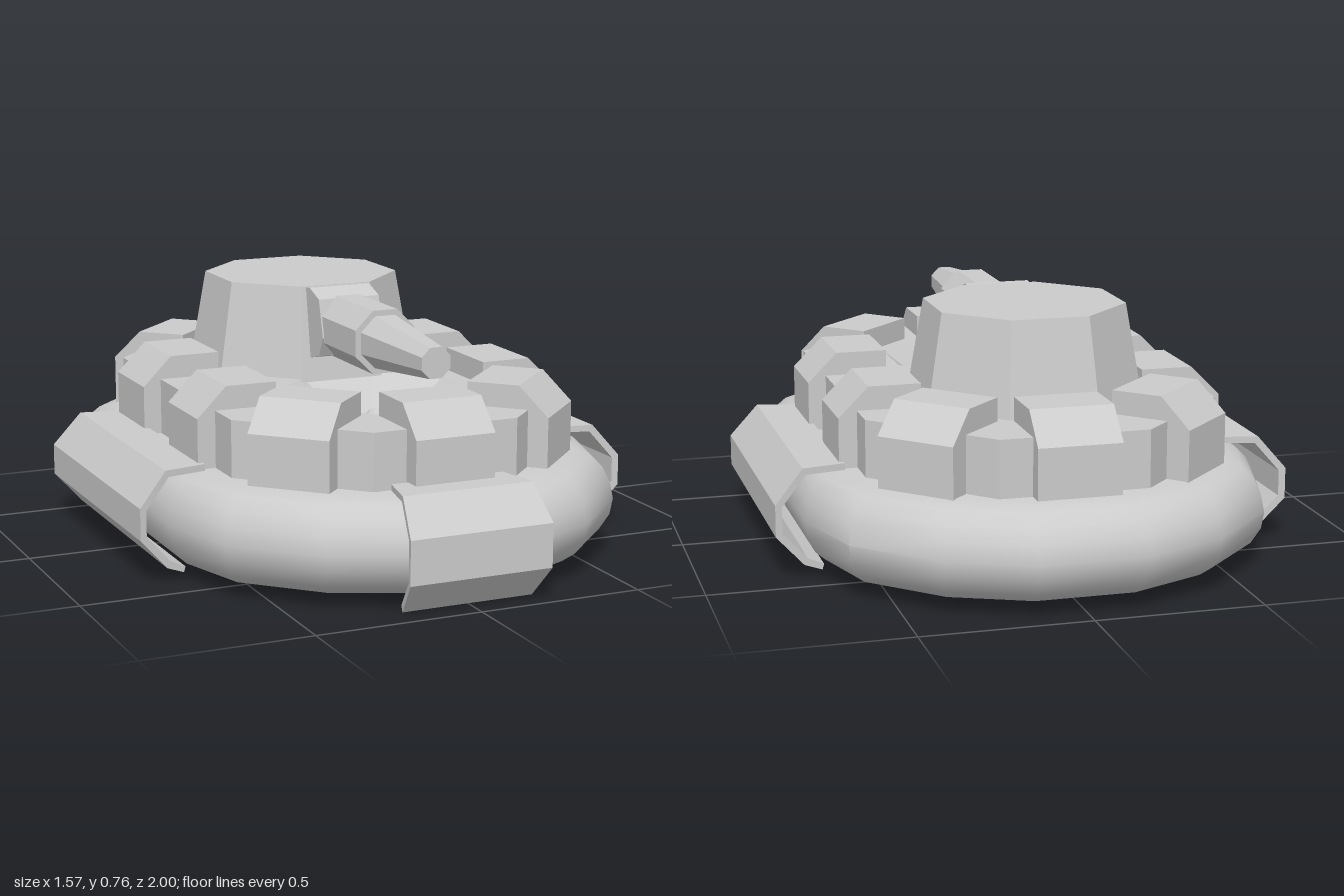
import * as THREE from 'three';
import { toCreasedNormals } from 'three/addons/utils/BufferGeometryUtils.js';

const flat = new THREE.MeshStandardMaterial({ color: 0xcccccc, flatShading: true, side: THREE.DoubleSide });
const smooth = new THREE.MeshStandardMaterial({ color: 0xcccccc, side: THREE.DoubleSide });

function add(parent, name, geometry, material = flat) {
  const mesh = new THREE.Mesh(geometry, material);
  mesh.name = name;
  parent.add(mesh);
  return mesh;
}

const shapeOf = (pts) => new THREE.Shape(pts.map(([x, y]) => new THREE.Vector2(x, y)));

// Octagonal frustum with flats on the axes; radii are measured to the flats
function octagon(top, bottom, height, open = false) {
  const k = 1 / Math.cos(Math.PI / 8);
  return new THREE.CylinderGeometry(top * k, bottom * k, height, 8, 1, open).rotateY(Math.PI / 8);
}

// Profile given as [outward, y], extruded sideways and centred, outward = +z
function prism(profile, width) {
  return new THREE.ExtrudeGeometry(shapeOf(profile), { depth: width, bevelEnabled: false })
    .translate(0, 0, -width / 2).rotateY(-Math.PI / 2);
}

// Inflated skirt: scaled copies of the plan outline stacked along a bulging profile
function skirtGeometry() {
  const half = [[0.16, -1], [0.41, -0.89], [0.62, -0.68], [0.695, -0.42], [0.695, 0.4], [0.62, 0.65], [0.41, 0.86], [0.18, 0.965]];
  const outline = [...half, ...half.slice().reverse().map(([x, z]) => [-x, z])];
  const profile = [[1, 0.02], [0.4, 0.02], [0.09, 0.04], [0.045, 0.07], [0.01, 0.12], [0, 0.17],
    [0.012, 0.22], [0.04, 0.265], [0.08, 0.295], [0.14, 0.31], [1, 0.31]];
  const pos = [], index = [], n = outline.length;
  for (const [inset, y] of profile)
    for (const [x, z] of outline) pos.push(x * (1 - inset), y, z * (1 - inset));
  for (let r = 0; r < profile.length - 1; r++)
    for (let i = 0; i < n; i++) {
      const a = r * n + i, b = r * n + (i + 1) % n;
      if (r > 0) index.push(a, a + n, b);
      if (r < profile.length - 2) index.push(b, a + n, b + n);
      else continue;
      if (r === 0) continue;
    }
  const g = new THREE.BufferGeometry();
  g.setAttribute('position', new THREE.Float32BufferAttribute(pos, 3));
  g.setIndex(index);
  return toCreasedNormals(g, 0.62);
}

// Bent guard plate: its width grows with its distance outward
function guard(inner, outer, widthIn, widthOut, outIn, outMax) {
  const g = prism([...outer, ...inner.slice().reverse()], 2);
  const p = g.attributes.position;
  for (let i = 0; i < p.count; i++) {
    const t = THREE.MathUtils.clamp((p.getZ(i) - outIn) / (outMax - outIn), 0, 1);
    p.setX(i, p.getX(i) * THREE.MathUtils.lerp(widthIn, widthOut, t));
  }
  return g;
}

export function createModel() {
  const model = new THREE.Group();
  model.name = 'hovercraft';

  add(model, 'skirt', skirtGeometry(), smooth);

  // Raised deck with an octagonal pit in front of the turret
  const deck = shapeOf([[-0.22, 0.81], [-0.53, 0.49], [-0.53, -0.465], [-0.225, -0.77],
    [0.225, -0.77], [0.53, -0.465], [0.53, 0.49], [0.22, 0.81]]);
  const pit = new THREE.Path();
  for (let i = 0; i < 8; i++) {
    const a = (i + 0.5) * Math.PI / 4, r = 0.28 / Math.cos(Math.PI / 8);
    pit[i ? 'lineTo' : 'moveTo'](r * Math.cos(a), -0.295 + r * Math.sin(a));
  }
  pit.closePath();
  deck.holes.push(pit);
  add(model, 'deck', new THREE.ExtrudeGeometry(deck, { depth: 0.18, bevelEnabled: false })
    .rotateX(-Math.PI / 2).translate(0, 0.3, 0));
  add(model, 'pitWall', octagon(0.28, 0.08, 0.16, true).translate(0, 0.4, 0.295));
  add(model, 'pitFloor', octagon(0.08, 0.08, 0.02).translate(0, 0.312, 0.295));
  add(model, 'pitPost', new THREE.CylinderGeometry(0.04, 0.055, 0.08, 8).translate(0, 0.35, 0.3));
  add(model, 'pitPostCap', new THREE.SphereGeometry(0.04, 8, 3, 0, Math.PI * 2, 0, Math.PI / 2).translate(0, 0.39, 0.3));

  // Ring of chamfered blocks around the deck: x, z, heading
  const blockGeometry = prism([[-0.123, 0.3], [0.123, 0.3], [0.123, 0.46], [0.033, 0.55], [-0.123, 0.55]], 0.247);
  const q = Math.PI / 4;
  const blocks = [[0, 0.708, 0], [0, -0.735, 4 * q]];
  for (const s of [1, -1])
    blocks.push([s * 0.345, 0.563, s * q], [s * 0.462, 0.215, s * 2 * q],
      [s * 0.462, -0.255, s * 2 * q], [s * 0.345, -0.607, s * 3 * q]);
  for (const [x, z, heading] of blocks) {
    const block = add(model, 'deckBlock', blockGeometry);
    block.position.set(x, 0, z);
    block.rotation.y = heading;
  }

  // Guards over the skirt at both sides and the front
  const sideGuard = guard(
    [[0.57, 0.31], [0.69, 0.31], [0.765, 0.222], [0.765, 0.143], [0.69, 0.06], [0.64, 0.035]],
    [[0.57, 0.33], [0.70, 0.33], [0.785, 0.23], [0.785, 0.135], [0.70, 0.04], [0.645, 0.018]],
    0.375, 0.42, 0.57, 0.785);
  for (const s of [1, -1]) {
    const g = add(model, s > 0 ? 'leftGuard' : 'rightGuard', sideGuard);
    g.rotation.y = s * Math.PI / 2;
    g.position.z = -0.018;
  }
  add(model, 'frontGuard', guard(
    [[0.78, 0.312], [0.90, 0.312], [0.982, 0.223], [0.982, 0.107], [0.90, 0.015]],
    [[0.78, 0.33], [0.91, 0.33], [1.0, 0.23], [1.0, 0.1], [0.915, 0]],
    0.175, 0.22, 0.78, 1.0));

  // Turret with gun
  const turret = new THREE.Group();
  turret.name = 'turret';
  model.add(turret);
  add(turret, 'turretBody', octagon(0.28, 0.328, 0.29).translate(0, 0.615, -0.28));
  add(turret, 'mantlet', prism([[-0.03, 0.755], [0.03, 0.76], [0.1, 0.735], [0.13, 0.62], [0.1, 0.56], [0.04, 0.545], [-0.03, 0.55]], 0.2));
  const barrel = (name, rFront, rBack, z0, z1) =>
    add(turret, name, octagon(rFront, rBack, z1 - z0).rotateX(Math.PI / 2).translate(0, 0.645, (z0 + z1) / 2));
  barrel('barrelSleeve', 0.095, 0.095, 0.07, 0.36);
  barrel('barrel', 0.045, 0.078, 0.36, 0.7);

  return model;
}
